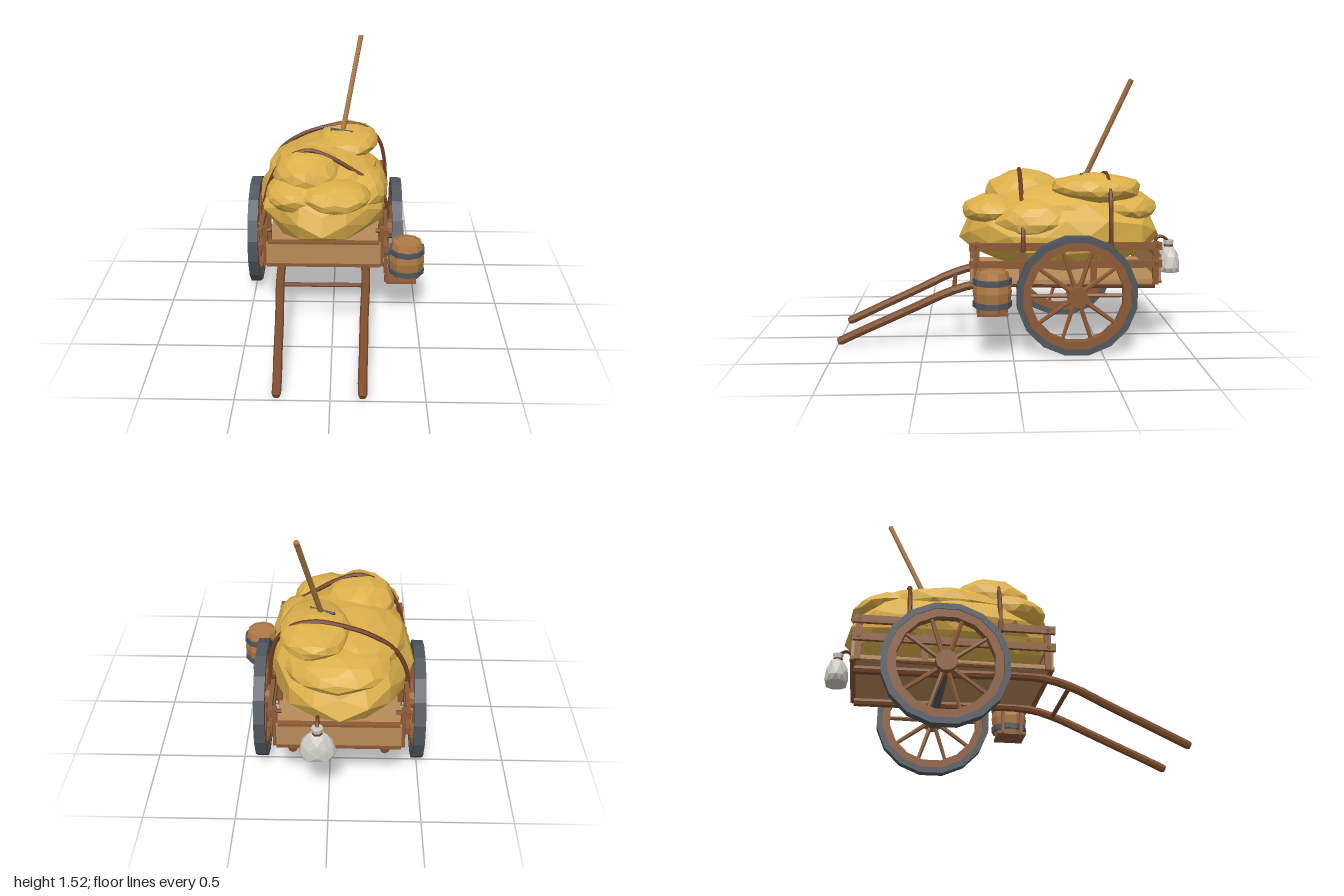
import * as THREE from 'three';

const mat = (name, color) => new THREE.MeshStandardMaterial({ name, color, flatShading: true });

export function createModel() {
  const hay = mat('hay', 0xdcb04a), plank = mat('plank', 0xb88a5a), wood = mat('wood', 0x8c5a35),
    shaftWood = mat('shaftWood', 0x7d4c2c), handleWood = mat('handleWood', 0xa87443),
    barrelWood = mat('barrelWood', 0xb07a45), iron = mat('iron', 0x50565f),
    rope = mat('rope', 0x6e3d24), cloth = mat('cloth', 0xcfcbc4);
  const model = new THREE.Group();
  const V = (x, y, z) => new THREE.Vector3(x, y, z);
  const CX = -0.055; // centre line of the cart

  const add = (name, geo, material, x = 0, y = 0, z = 0, parent = model) => {
    const m = new THREE.Mesh(geo, material);
    m.name = name;
    m.position.set(x, y, z);
    parent.add(m);
    return m;
  };
  const box = (name, m, w, h, d, x, y, z, parent) => add(name, new THREE.BoxGeometry(w, h, d), m, x, y, z, parent);
  const rod = (name, m, a, b, r0, r1 = r0, sides = 8, parent = model) => {
    const d = b.clone().sub(a);
    const o = add(name, new THREE.CylinderGeometry(r1, r0, d.length(), sides), m, 0, 0, 0, parent);
    o.position.copy(a).addScaledVector(d, 0.5);
    o.quaternion.setFromUnitVectors(V(0, 1, 0), d.normalize());
    return o;
  };
  const tube = (name, m, pts, r, n = 20, sides = 6) =>
    add(name, new THREE.TubeGeometry(new THREE.CatmullRomCurve3(pts.map(p => V(...p))), n, r, sides), m);
  const lathe = (pts, n) => new THREE.LatheGeometry(pts.map(p => new THREE.Vector2(...p)), n);
  const ring = (r0, r1, h, n) => lathe([[r0, -h], [r1, -h], [r1, h], [r0, h], [r0, -h]], n);

  // Wheels: iron tyre, wooden rim, hub and ten spokes
  for (const s of [-1, 1]) {
    const w = new THREE.Group();
    w.name = s > 0 ? 'leftWheel' : 'rightWheel';
    w.position.set(CX + s * 0.44, 0.336, -0.355);
    w.rotation.z = Math.PI / 2;
    model.add(w);
    add('tyre', ring(0.305, 0.339, 0.031, 16), iron, 0, 0, 0, w).rotation.y = Math.PI / 16;
    add('rim', ring(0.26, 0.308, 0.026, 16), wood, 0, 0, 0, w).rotation.y = Math.PI / 16;
    add('hub', new THREE.CylinderGeometry(0.058, 0.058, 0.11, 10), wood, 0, 0, 0, w);
    for (let i = 0; i < 10; i++) {
      const a = (i + 0.5) * Math.PI / 5, c = Math.cos(a), t = Math.sin(a);
      rod('spoke', wood, V(c * 0.04, 0, t * 0.04), V(c * 0.27, 0, t * 0.27), 0.014, 0.011, 6, w);
    }
  }
  rod('axle', iron, V(-0.5, 0.34, -0.355), V(0.39, 0.34, -0.355), 0.026);

  // Bed, end boards, posts and side rails
  box('floor', plank, 0.68, 0.022, 1.04, CX, 0.392, -0.305);
  for (const z of [0.222, -0.832]) {
    box('endBoard', plank, 0.66, 0.14, 0.022, CX, 0.46, z);
    box('endSill', wood, 0.66, 0.02, 0.03, CX, 0.388, z);
    box('endCap', wood, 0.64, 0.015, 0.03, CX, 0.531, z);
  }
  for (const s of [-1, 1]) {
    for (const z of [0.2, -0.055, -0.46, -0.81])
      box('post', wood, 0.026, 0.245, 0.034, CX + s * 0.337, 0.497, z);
    for (const y of [0.497, 0.598])
      box('sideRail', wood, 0.022, 0.042, 1.08, CX + s * 0.361, y, -0.3);
    for (const z of [0.2, -0.81]) for (const y of [0.497, 0.598])
      rod('peg', shaftWood, V(CX + s * 0.3, y, z), V(CX + s * 0.378, y, z), 0.012, 0.012, 6);
  }

  // Pulling shafts running under the bed
  for (const s of [-1, 1]) {
    const x = CX + s * 0.245, e = CX + s * 0.225;
    tube('shaft', shaftWood, [[x, 0.355, -0.82], [x, 0.36, -0.3], [x, 0.365, 0.18], [x, 0.325, 0.34],
      [x - s * 0.01, 0.225, 0.56], [x - s * 0.015, 0.125, 0.78], [e, 0.07, 0.9], [e, 0.03, 0.985]], 0.025, 26, 8);
    rod('shaftTip', shaftWood, V(e, 0.035, 0.975), V(e, 0.026, 0.996), 0.025, 0.019);
    rod('shaftEnd', shaftWood, V(x, 0.355, -0.825), V(x, 0.355, -0.81), 0.025);
  }
  rod('shaftCrossbar', shaftWood, V(CX - 0.24, 0.313, 0.33), V(CX + 0.24, 0.313, 0.33), 0.013);

  // Hay: overlapping lumps roughened by a position hash
  const hash = (p, k) => {
    const v = Math.sin(Math.round(p.x * 99) * 12.99 + Math.round(p.y * 99) * 78.23 + Math.round(p.z * 99) * 37.72 + k) * 43758.5;
    return v - Math.floor(v);
  };
  const lump = (name, m, c, r, rough, k, detail = 2) => {
    const g = new THREE.IcosahedronGeometry(1, detail), a = g.attributes.position, p = V();
    for (let i = 0; i < a.count; i++) {
      p.fromBufferAttribute(a, i);
      p.multiplyScalar(1.02 + (hash(p, k) - 0.5) * rough);
      a.setXYZ(i, p.x * r[0], Math.max(p.y * r[1], 0.405 - c[1]), p.z * r[2]);
    }
    g.computeVertexNormals();
    return add(name, g, m, ...c);
  };
  [
    [[-0.06, 0.65, -0.3], [0.39, 0.25, 0.575]],
    [[-0.07, 0.76, -0.32], [0.33, 0.17, 0.47]],
    [[-0.16, 0.84, -0.09], [0.2, 0.145, 0.23]],
    [[0.08, 0.9, -0.49], [0.19, 0.085, 0.26]],
    [[0.01, 0.77, 0.1], [0.2, 0.085, 0.18]],
    [[-0.22, 0.76, 0.02], [0.17, 0.1, 0.2]],
    [[-0.05, 0.78, -0.63], [0.27, 0.1, 0.23]],
    [[0.14, 0.72, -0.15], [0.18, 0.13, 0.25]],
  ].forEach(([c, r], i) => lump('hayLump', hay, c, r, 0.1, i * 1.7));

  // Ropes tied over the load
  tube('frontRope', rope, [[-0.425, 0.58, -0.06], [-0.415, 0.66, -0.06], [-0.375, 0.8, -0.06], [-0.3, 0.92, -0.06],
    [-0.16, 0.988, -0.06], [-0.03, 0.95, -0.06], [0.12, 0.86, -0.06], [0.25, 0.77, -0.06], [0.31, 0.67, -0.06], [0.325, 0.58, -0.06]], 0.013, 32);
  tube('rearRope', rope, [[-0.425, 0.58, -0.55], [-0.415, 0.68, -0.55], [-0.35, 0.81, -0.55], [-0.22, 0.905, -0.55],
    [-0.05, 0.965, -0.55], [0.08, 0.985, -0.55], [0.2, 0.955, -0.55], [0.28, 0.87, -0.55], [0.315, 0.74, -0.55], [0.325, 0.58, -0.55]], 0.013, 32);
  for (const z of [-0.06, -0.55]) for (const s of [-1, 1])
    box('ropeKnot', rope, 0.034, 0.055, 0.03, CX + s * 0.367, 0.598, z);

  // Pitchfork stuck in the hay
  rod('forkHandle', handleWood, V(0.04, 0.93, -0.42), V(0.157, 1.52, -0.675), 0.015);
  rod('forkBar', iron, V(-0.02, 0.978, -0.46), V(0.105, 0.978, -0.405), 0.008, 0.008, 6);
  for (const t of [0, 0.5, 1])
    rod('forkTine', iron, V(-0.02 + t * 0.125, 0.985, -0.46 + t * 0.055), V(-0.055 + t * 0.125, 0.8, -0.38 + t * 0.055), 0.007, 0.003, 5);

  // Barrel on a side shelf
  const barrel = new THREE.Group();
  barrel.name = 'barrel';
  barrel.position.set(0.435, 0.378, 0.115);
  model.add(barrel);
  add('staves', lathe([[0, -0.113], [0.083, -0.113], [0.1, -0.055], [0.107, 0], [0.1, 0.055], [0.085, 0.113], [0.075, 0.113], [0.075, 0.105], [0, 0.105]], 10), barrelWood, 0, 0, 0, barrel);
  for (const y of [-0.068, 0.058])
    add('hoop', ring(0.09, 0.107, 0.016, 10), iron, 0, y, 0, barrel);
  box('barrelShelf', wood, 0.175, 0.016, 0.17, 0.402, 0.257, 0.115);
  for (const z of [0.06, 0.17])
    box('shelfStrut', wood, 0.018, 0.15, 0.02, 0.312, 0.325, z);
  box('barrelStrap', iron, 0.12, 0.014, 0.016, 0.29, 0.405, 0.115);

  // Sack hanging behind the cart
  lump('sack', cloth, [0.055, 0.435, -0.93], [0.097, 0.125, 0.066], 0.06, 5, 1);
  rod('sackNeck', cloth, V(0.055, 0.535, -0.93), V(0.055, 0.588, -0.93), 0.022, 0.032, 7);
  rod('sackTie', rope, V(0.055, 0.55, -0.93), V(0.055, 0.562, -0.93), 0.028, 0.028, 7);
  tube('sackRope', rope, [[0.055, 0.575, -0.93], [0.055, 0.605, -0.9], [0.055, 0.605, -0.865], [0.055, 0.53, -0.84]], 0.01, 10);

  return model;
}
